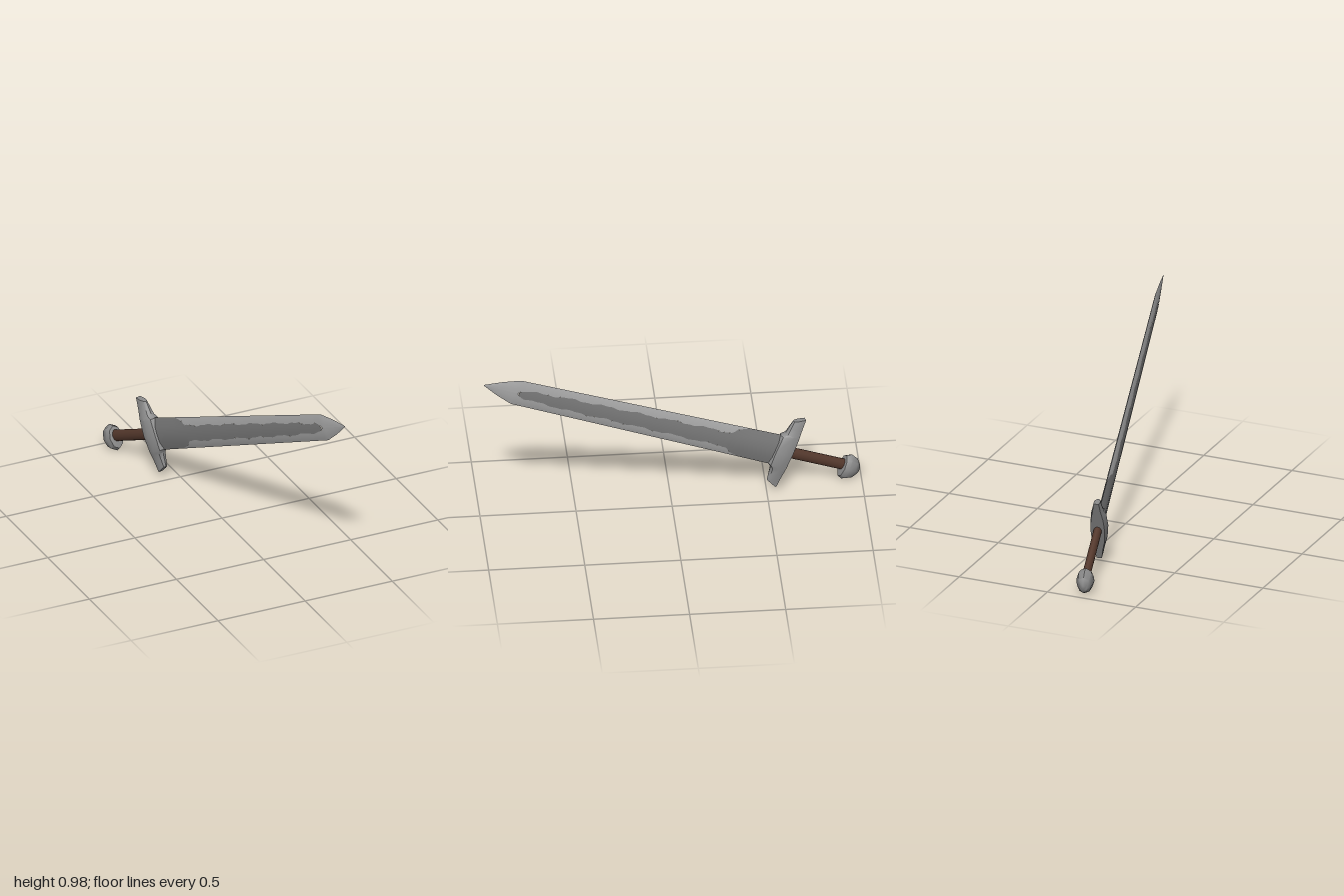
import * as THREE from 'three';
import { toCreasedNormals } from 'three/addons/utils/BufferGeometryUtils.js';

const flat = (name, color) => {
  const m = new THREE.MeshStandardMaterial({ color });
  m.name = name;
  return m;
};

// Grid surface from a rule: n rows by m columns
function surface(n, m, rule) {
  const pos = [], idx = [];
  for (let i = 0; i <= n; i++) for (let j = 0; j <= m; j++) pos.push(...rule(i, j));
  for (let i = 0; i < n; i++) for (let j = 0; j < m; j++) {
    const a = i * (m + 1) + j, c = a + m + 1;
    idx.push(a, a + 1, c + 1, a, c + 1, c);
  }
  const g = new THREE.BufferGeometry();
  g.setAttribute('position', new THREE.Float32BufferAttribute(pos, 3));
  g.setIndex(idx);
  g.computeVertexNormals();
  return g;
}

// Linear interpolation in a table of [position, value]
function lookup(table, s) {
  for (let i = 1; i < table.length; i++) {
    const [a, u] = table[i - 1], [b, v] = table[i];
    if (s <= b) return u + (v - u) * Math.max(0, (s - a) / (b - a));
  }
  return table[table.length - 1][1];
}

// Blade half width, half thickness and half width of the dark centre, along its length
const halfWidth = [[-0.64, 0.088], [0.932, 0.071], [1.03, 0.04], [1.09, 0.016], [1.123, 0.002]];
const halfThick = [[-0.64, 0.018], [0.932, 0.011], [1.123, 0.001]];
const centre = [[-0.43, 0.0859], [-0.40, 0.078], [-0.36, 0.066], [-0.335, 0.043],
  [0.6, 0.034], [0.8, 0.027], [0.87, 0.023], [0.91, 0.014], [0.922, 0]];

function darkEdge(s, dir) {
  const w = lookup(halfWidth, s);
  if (s <= -0.43) return w;
  const wobble = s > -0.33 && s < 0.9
    ? 0.004 * Math.sin(s * 31 + dir) + 0.002 * Math.sin(s * 83 + dir * 2) : 0;
  return Math.max(0, Math.min(w, lookup(centre, s) + wobble));
}

// One strip of a blade face; lo and hi give its borders across the width
function bladeStrip(side, s0, s1, rows, lo, hi) {
  return surface(rows, 4, (i, j) => {
    const s = s0 + (s1 - s0) * i / rows;
    const W = lookup(halfWidth, s);
    const w = lo(s, W) + (hi(s, W) - lo(s, W)) * j / 4;
    const t = lookup(halfThick, s) * (1 - Math.pow(Math.min(1, Math.abs(w) / W), 2.3));
    return [side * t, side * w, s];
  });
}

export function createModel() {
  const edgeSteel = flat('bright edge steel', 0xa6a6a6);
  const darkSteel = flat('dark steel', 0x7a7a7a);
  const guardSteel = flat('guard steel', 0x8c8c8c);
  const leather = flat('brown leather', 0x54382c);

  const sword = new THREE.Group();
  sword.name = 'sword';
  const add = (name, geometry, material, parent = sword) => {
    const mesh = new THREE.Mesh(geometry, material);
    mesh.name = name;
    parent.add(mesh);
    return mesh;
  };

  // Blade: dark centre and base with bright worn edges, on both faces
  const blade = new THREE.Group();
  blade.name = 'blade';
  sword.add(blade);
  for (const side of [1, -1]) {
    add('bladeCentre', bladeStrip(side, -0.64, 0.922, 110,
      (s) => -darkEdge(s, -1), (s) => darkEdge(s, 1)), darkSteel, blade);
    add('bladeUpperEdge', bladeStrip(side, -0.43, 1.123, 110,
      (s) => darkEdge(s, 1), (s, W) => W), edgeSteel, blade);
    add('bladeLowerEdge', bladeStrip(side, -0.43, 1.123, 110,
      (s, W) => -W, (s) => -darkEdge(s, -1)), edgeSteel, blade);
  }

  // Guard: sections from the middle out [front offset, back offset, front height, half thickness]
  const half = [[0, 0, -0.60, 0.047], [0.085, 0.085, -0.606, 0.040], [0.103, 0.103, -0.628, 0.036],
    [0.14, 0.14, -0.634, 0.027], [0.178, 0.205, -0.64, 0.017]];
  const rows = [...half.slice(1).reverse().map((r) => [-r[0], -r[1], r[2], r[3]]), ...half];
  const ring = [[0, 0], [0.6, 0.1], [1, 0.5], [0.8, 1], [0, 1], [-0.8, 1], [-1, 0.5], [-0.6, 0.1], [0, 0]];
  const back = -0.702, last = rows.length + 1;
  const guard = surface(last, 8, (i, j) => {
    const [wf, wb, front, h] = rows[Math.min(rows.length - 1, Math.max(0, i - 1))];
    const cap = i === 0 || i === last;
    const [x, k] = cap ? [0, 0.5] : ring[j];
    return [x * h, wf + (wb - wf) * k, front + (back - front) * k];
  });
  add('guard', toCreasedNormals(guard, 0.7), guardSteel);

  // Grip: oval handle
  const grip = new THREE.CylinderGeometry(0.031, 0.031, 0.36, 12).rotateX(Math.PI / 2);
  grip.scale(0.7, 1, 1).translate(0, 0, -0.86);
  add('grip', grip, leather);

  // Pommel: flattened rounded knob
  const profile = [[0, -1.114], [0.026, -1.11], [0.058, -1.082], [0.073, -1.042], [0.062, -1.016], [0, -1.008]];
  const pommel = new THREE.LatheGeometry(profile.map(([r, y]) => new THREE.Vector2(r, y)), 8)
    .rotateX(Math.PI / 2).scale(0.65, 1, 1).translate(0, -0.009, 0);
  add('pommel', toCreasedNormals(pommel, 0.8), guardSteel);

  // Tilt: local x is thickness, y is width, z runs to the tip
  const along = new THREE.Vector3(0.19, 0.414, 0.89).normalize();
  const thick = new THREE.Vector3(-0.13, 0.908, -0.395).cross(along).normalize();
  const wide = along.clone().cross(thick);
  sword.quaternion.setFromRotationMatrix(new THREE.Matrix4().makeBasis(thick, wide, along));
  sword.position.set(0.015, 0.516, 0);

  const model = new THREE.Group();
  model.name = 'model';
  model.add(sword);
  return model;
}
